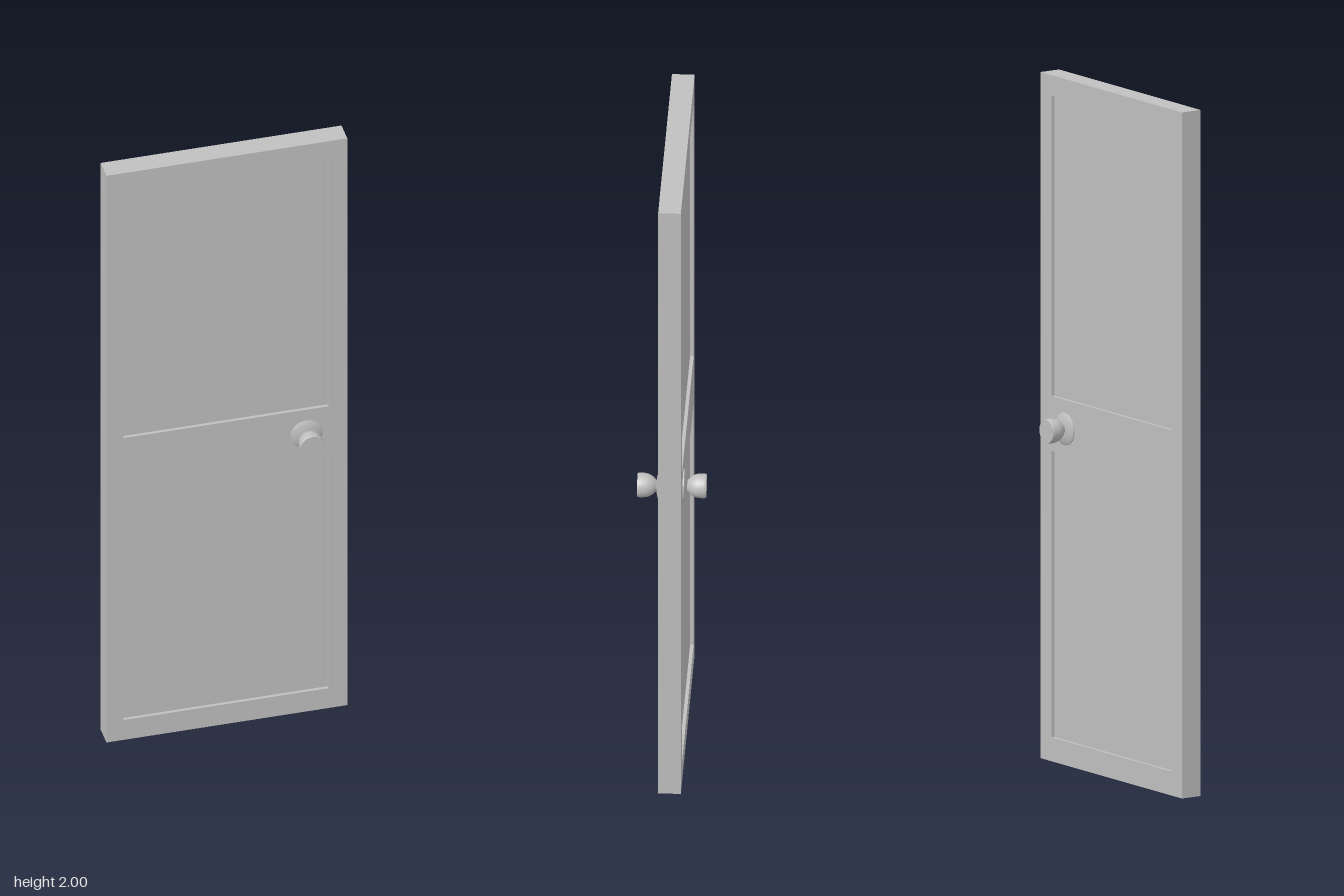
import * as THREE from 'three';

const WIDTH = 0.712, HEIGHT = 2, THICK = 0.065, RECESS = 0.01;
const PANELS = [[0.07, 0.905], [1.065, 1.94]]; // bottom and top of each panel

function rect(target, x0, y0, x1, y1) {
  target.moveTo(x0, y0).lineTo(x1, y0).lineTo(x1, y1).lineTo(x0, y1).closePath();
  return target;
}

// Turned part from [radius, distance] sections; each section keeps its own sharp ends
function turned(name, sections, material) {
  const group = new THREE.Group();
  group.name = name;
  for (const points of sections) {
    const curve = points.length > 2
      ? new THREE.SplineCurve(points.map(p => new THREE.Vector2(...p))).getPoints(14)
      : points.map(p => new THREE.Vector2(...p));
    const mesh = new THREE.Mesh(new THREE.LatheGeometry(curve, 40).rotateX(Math.PI / 2), material);
    mesh.name = name + 'Surface';
    group.add(mesh);
  }
  return group;
}

export function createModel() {
  const model = new THREE.Group();
  model.name = 'panelDoor';
  const grey = new THREE.MeshStandardMaterial({ color: 0xc0c0c0 });
  grey.name = 'grey';

  // Slab: stiles and rails around two recessed panels
  const door = new THREE.Group();
  door.name = 'door';
  door.position.z = -0.0045;
  door.rotation.y = -0.006;
  model.add(door);

  const outline = rect(new THREE.Shape(), -WIDTH / 2, 0, WIDTH / 2, HEIGHT);
  for (const [y0, y1] of PANELS) outline.holes.push(rect(new THREE.Path(), -0.305, y0, 0.3, y1));
  const frame = new THREE.Mesh(
    new THREE.ExtrudeGeometry(outline, { depth: THICK, bevelEnabled: false }).translate(0, 0, -THICK / 2), grey);
  frame.name = 'frame';
  door.add(frame);

  for (const [y0, y1] of PANELS) {
    const panel = new THREE.Mesh(new THREE.BoxGeometry(0.605, y1 - y0, THICK - 2 * RECESS), grey);
    panel.name = 'recessedPanel';
    panel.position.set(-0.0025, (y0 + y1) / 2, 0);
    door.add(panel);
  }

  // Knob and rosette on each side; distances run outward from the door face
  for (const side of [1, -1]) {
    const handle = new THREE.Group();
    handle.name = side > 0 ? 'frontHandle' : 'backHandle';
    handle.position.set(side > 0 ? 0.235 : 0.231, 0.98, side > 0 ? 0.029 : -0.036);
    if (side < 0) handle.rotation.y = Math.PI;
    handle.add(
      turned('rosette', [[[0.047, -0.002], [0.047, 0.003]],
        [[0.047, 0.003], [0.038, 0.007], [0.024, 0.0105], [0.01, 0.012]]], grey),
      turned('knob', [
        [[0.012, 0.008], [0.017, 0.013], [0.026, 0.022], [0.033, 0.035], [0.0355, 0.05], [0.0355, 0.061]],
        [[0.0355, 0.061], [0.034, 0.066]],
        [[0.034, 0.066], [0.0001, 0.066]],
      ], grey));
    model.add(handle);
  }
  return model;
}
